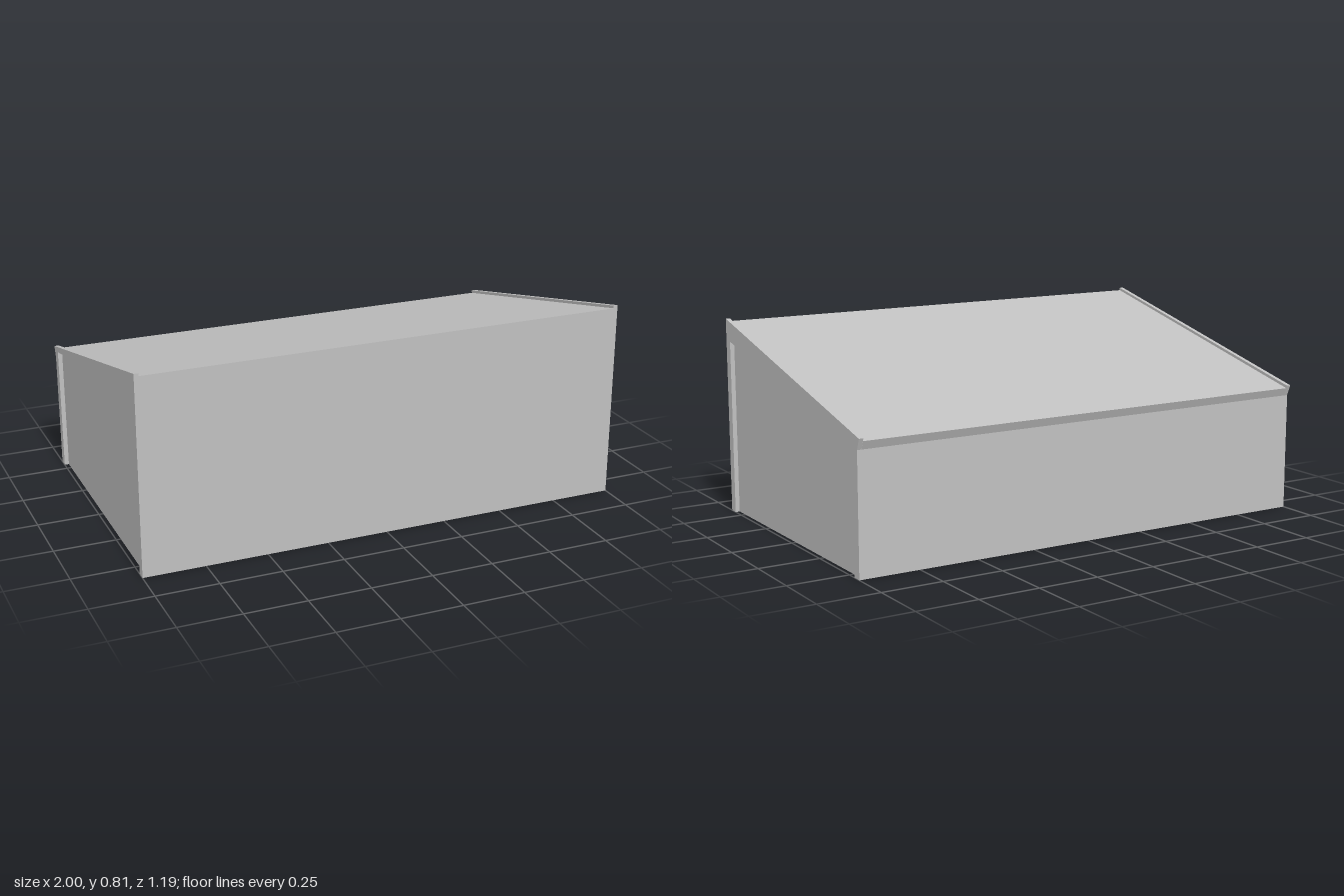
import * as THREE from 'three';

// Outlines are given as [z, y] points
const FRAME = [[0.597, 0], [0.597, 0.809], [-0.597, 0.524], [-0.58, 0.48], [-0.58, 0],
  [-0.54, 0], [-0.54, 0.515], [0.56, 0.718], [0.56, 0]];
const PANEL = [[0.56, 0], [0.56, 0.718], [-0.54, 0.515], [-0.54, 0]];
const SHELL = [[0.597, 0], [0.597, 0.798], [-0.594, 0.513], [-0.58, 0.48], [-0.58, 0]];
const INNER = 0.982;
const DEPTH = 0.018;

const sideShape = (points) => new THREE.Shape(points.map(([z, y]) => new THREE.Vector2(-z, y)));

// One flat strip of the shell, spanning the width between two outline points
function strip([z0, y0], [z1, y1]) {
  const g = new THREE.BufferGeometry();
  g.setAttribute('position', new THREE.Float32BufferAttribute([
    -INNER, y0, z0, INNER, y0, z0, INNER, y1, z1, -INNER, y1, z1], 3));
  g.setIndex([0, 1, 2, 0, 2, 3]);
  g.computeVertexNormals();
  return g;
}

export function createModel() {
  const group = new THREE.Group();
  const grey = new THREE.MeshStandardMaterial({ color: 0xc0c0c0, side: THREE.DoubleSide });
  grey.name = 'lightGrey';
  const add = (geometry, name) => {
    const mesh = new THREE.Mesh(geometry, grey);
    mesh.name = name;
    group.add(mesh);
    return mesh;
  };

  // Hollow shell, open underneath
  ['frontWall', 'slopingRoof', 'rearEave', 'backWall'].forEach((name, i) =>
    add(strip(SHELL[i], SHELL[i + 1]), name));

  // Raised end frames around recessed side panels
  for (const [side, s] of [['left', 1], ['right', -1]]) {
    const frame = new THREE.ExtrudeGeometry(sideShape(FRAME), { depth: DEPTH, bevelEnabled: false });
    frame.rotateY(Math.PI / 2);
    add(frame, side + 'EndFrame').position.x = s > 0 ? INNER : -INNER - DEPTH;

    const panel = new THREE.ShapeGeometry(sideShape(PANEL));
    panel.rotateY(s * Math.PI / 2);
    if (s < 0) panel.scale(1, 1, -1).setIndex([...panel.index.array].reverse());
    panel.computeVertexNormals();
    add(panel, side + 'SidePanel').position.x = s * INNER;
  }
  return group;
}
